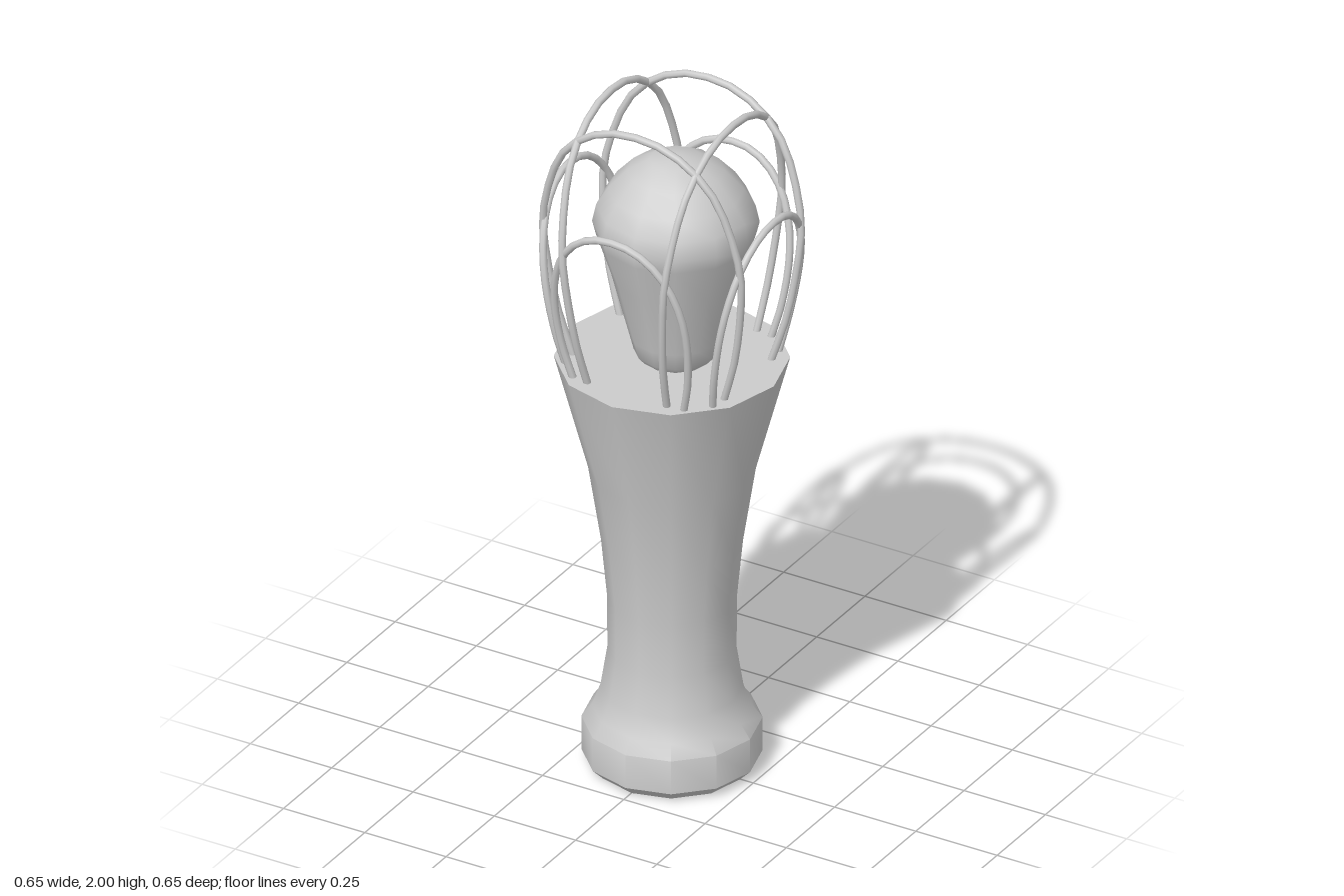
import * as THREE from 'three';
import { toCreasedNormals } from 'three/addons/utils/BufferGeometryUtils.js';

const SIDES = 12;
const WIRE_RADIUS = 0.0105;
const material = new THREE.MeshStandardMaterial({ color: 0xcccccc });

// Turned part from [radius, y] pairs, listed bottom to top
function turned(name, profile, crease) {
  const points = profile.map(([r, y]) => new THREE.Vector2(r, y));
  const geometry = toCreasedNormals(new THREE.LatheGeometry(points, SIDES), crease);
  const mesh = new THREE.Mesh(geometry, material);
  mesh.name = name;
  return mesh;
}

// Wire arch from [half span, y] pairs (foot to crown); it leans outward from
// zFoot at the foot to zTop at the crown
function wireArch(name, half, zFoot, zTop) {
  const y0 = half[0][1];
  const y1 = half[half.length - 1][1];
  const at = (x, y) =>
    new THREE.Vector3(x, y, THREE.MathUtils.mapLinear(y, y0, y1, zFoot, zTop));
  const left = half.map(([x, y]) => at(x, y));
  const right = half.slice(0, -1).reverse().map(([x, y]) => at(-x, y));
  const curve = new THREE.CatmullRomCurve3([...left, ...right]);

  const group = new THREE.Group();
  group.name = name;
  group.add(new THREE.Mesh(new THREE.TubeGeometry(curve, 28, WIRE_RADIUS, 8), material));
  // Rounded feet
  for (const end of [left[0], right[right.length - 1]]) {
    const foot = new THREE.Mesh(new THREE.SphereGeometry(WIRE_RADIUS, 8, 6), material);
    foot.name = 'wireFoot';
    foot.position.copy(end);
    group.add(foot);
  }
  return group;
}

export function createModel() {
  const model = new THREE.Group();
  model.name = 'cagedBulbHandle';

  // Flared handle with a chamfered base and a flat top
  model.add(turned('handle', [
    [0, 0], [0.21, 0], [0.24, 0.03], [0.24, 0.13], [0.212, 0.168],
    [0.189, 0.23], [0.171, 0.345], [0.172, 0.5], [0.188, 0.67],
    [0.222, 0.89], [0.313, 1.23], [0, 1.23],
  ], 0.65));

  // Pear-shaped bulb, set very slightly off centre
  const bulb = turned('bulb', [
    [0, 1.22], [0.09, 1.225], [0.112, 1.25], [0.125, 1.3], [0.172, 1.48],
    [0.212, 1.6], [0.222, 1.64], [0.211, 1.69], [0.18, 1.74],
    [0.13, 1.795], [0.07, 1.83], [0, 1.842],
  ], 1.2);
  bulb.position.set(0.006, 0, -0.01);
  model.add(bulb);

  // Wire cage: one tall and one low arch on each of the four sides
  const tall = [
    [0.232, 1.225], [0.272, 1.36], [0.298, 1.52], [0.305, 1.63],
    [0.285, 1.74], [0.238, 1.86], [0.175, 1.93], [0.09, 1.976], [0, 1.989],
  ];
  const low = [
    [0.17, 1.225], [0.192, 1.32], [0.203, 1.45], [0.192, 1.55],
    [0.16, 1.635], [0.115, 1.69], [0.06, 1.722], [0, 1.731],
  ];
  for (let i = 0; i < 4; i++) {
    const side = new THREE.Group();
    side.name = 'cageSide';
    side.rotation.y = i * Math.PI / 2;
    side.add(wireArch('tallArch', tall, 0.122, 0.187));
    side.add(wireArch('lowArch', low, 0.226, 0.314));
    model.add(side);
  }
  return model;
}
